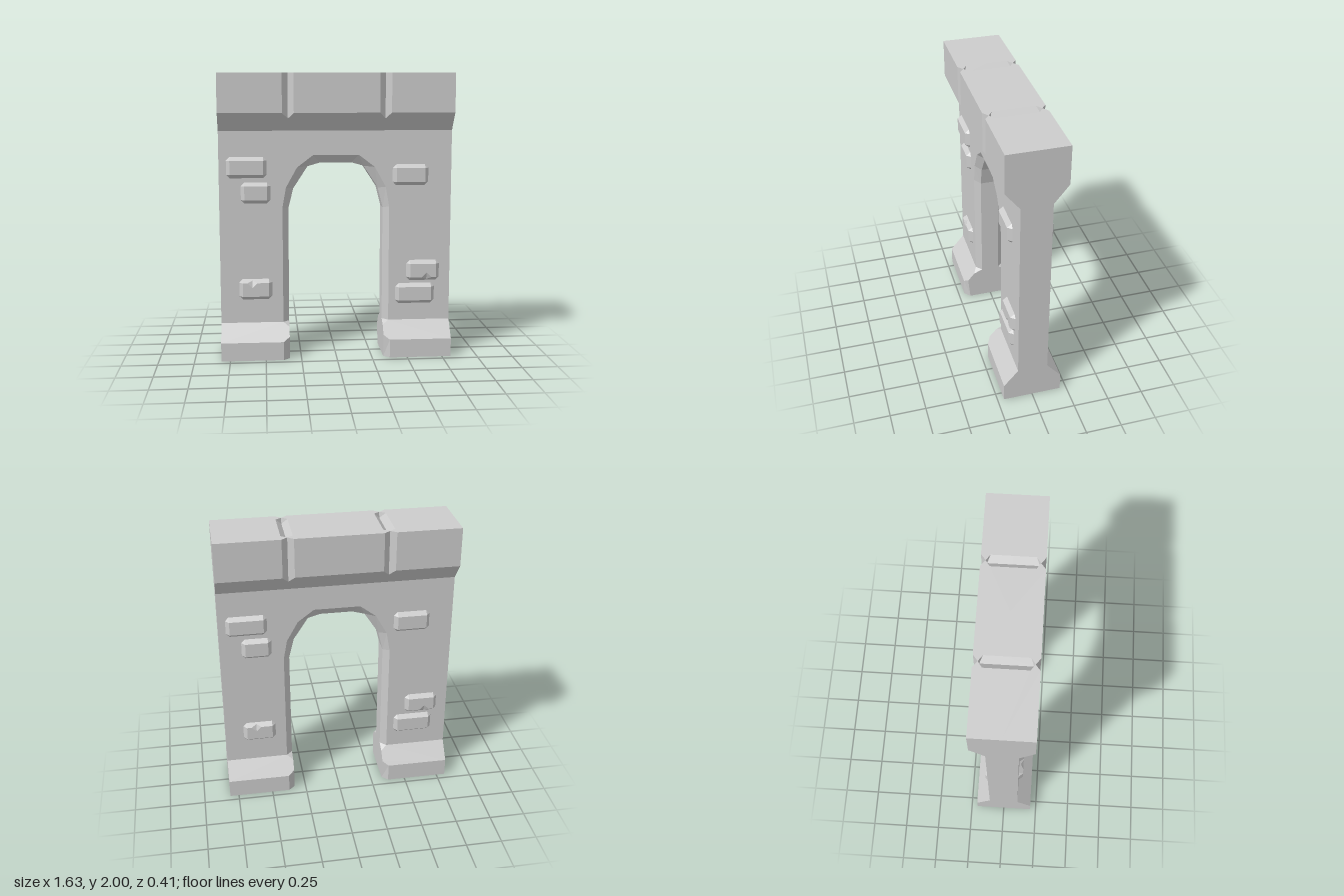
import * as THREE from 'three';

const stone = new THREE.MeshStandardMaterial({ color: 0xcccccc, flatShading: true, side: THREE.DoubleSide });
stone.name = 'grey stone';

const W = 0.813, I = 0.333, O = 0.375;      // outer side, inner jamb, outer edge of chamfer
const T = 0.105, D = 0.205, C = 0.065;      // wall, foot/lintel and chamfer half depths
const NX = 0.335, NA = 0.295, ND = 0.173;   // lintel joint centre, inner edge, depth

// Fan-triangulates a face from its first point, turned to face the hint direction
function addFace(out, hint, pts, sx = 1, sz = 1) {
  const p = pts.map(([x, y, z]) => new THREE.Vector3(x * sx, y, z * sz));
  const n = new THREE.Vector3();
  for (let i = 1; i < p.length - 1; i++) {
    n.add(p[i].clone().sub(p[0]).cross(p[i + 1].clone().sub(p[0])));
  }
  const flip = n.dot(new THREE.Vector3(hint[0] * sx, hint[1], hint[2] * sz)) < 0;
  for (let i = 1; i < p.length - 1; i++) {
    const tri = flip ? [p[0], p[i + 1], p[i]] : [p[0], p[i], p[i + 1]];
    tri.forEach((v) => out.push(v.x, v.y, v.z));
  }
}

function toMesh(name, out) {
  const g = new THREE.BufferGeometry();
  g.setAttribute('position', new THREE.Float32BufferAttribute(out, 3));
  g.computeVertexNormals();
  const m = new THREE.Mesh(g, stone);
  m.name = name;
  return m;
}

// Mirrors a list of [hint, points] faces into all four quarters
function quartered(name, faces) {
  const out = [];
  for (const sx of [1, -1]) for (const sz of [1, -1]) {
    for (const [hint, pts] of faces) addFace(out, hint, pts, sx, sz);
  }
  return toMesh(name, out);
}

const FRONT = [0, 0, 1], SIDE = [1, 0, 0], UP = [0, 1, 0], IN = [-1, 0, 0];

// Feet: plinth, sloped shoulder and cut inner corners, open underneath
function feet() {
  return quartered('feet', [
    [FRONT, [[O, 0, D], [W, 0, D], [W, 0.13, D], [O, 0.13, D]]],
    [[0, 1, 1], [[W, 0.13, D], [W, 0.25, T], [O, 0.25, T], [I, 0.22, 0.13], [I, 0.16, 0.18], [O, 0.13, D]]],
    [[-1, 0, 1], [[I, 0, 0.165], [O, 0, D], [O, 0.13, D], [I, 0.16, 0.18]]],
    [[-1, 1, 1], [[I, 0.22, 0.13], [O, 0.25, T], [I, 0.25, C]]],
    [IN, [[I, 0.25, C], [I, 0.22, 0.13], [I, 0.16, 0.18], [I, 0, 0.165], [I, 0, 0], [I, 0.25, 0]]],
    [SIDE, [[W, 0, 0], [W, 0, D], [W, 0.13, D], [W, 0.25, T], [W, 0.25, 0]]],
  ]);
}

// Wall around the opening, with the chamfered arch
function wall() {
  const outer = [[O, 0.25], [O, 1.07], [0.35, 1.21], [0.272, 1.35], [0.16, 1.435], [0, 1.435]];
  const inner = [[I, 0.25], [I, 1.06], [0.298, 1.2], [0.197, 1.355], [0.11, 1.38], [0, 1.38]];
  const at = (p, z) => [p[0], p[1], z];
  const faces = [
    [FRONT, [[W, 1.605, T], [0, 1.605, T], ...outer.map((p) => at(p, T)).reverse(), [W, 0.25, T]]],
    [SIDE, [[W, 0.25, 0], [W, 0.25, T], [W, 1.605, T], [W, 1.605, 0]]],
  ];
  for (let i = 0; i < 5; i++) {
    const a = inner[i], b = inner[i + 1];
    const hint = [a[1] - b[1], b[0] - a[0], 0];
    faces.push([FRONT, [at(a, C), at(outer[i], T), at(outer[i + 1], T), at(b, C)]]);
    faces.push([hint, [at(a, 0), at(a, C), at(b, C), at(b, 0)]]);
  }
  return quartered('archWall', faces);
}

// Lintel with V-shaped joints on the front, back and top
function lintel() {
  const faces = [
    [[0, -1, 1], [[NX, 1.69, ND], [NA, 1.73, D], [0, 1.73, D], [0, 1.605, T], [W, 1.605, T], [W, 1.73, D], [O, 1.73, D]]],
    [SIDE, [[W, 1.605, 0], [W, 1.605, T], [W, 1.73, D], [W, 2, D], [W, 2, 0]]],
  ];
  for (const [edge, end] of [[NA, 0], [O, W]]) {
    const toJoint = [NX - edge, 0, 0.04];
    faces.push(
      [FRONT, [[end, 1.73, D], [edge, 1.73, D], [edge, 2, D], [end, 2, D]]],
      [toJoint, [[edge, 1.73, D], [NX, 1.69, ND], [NX, 2, ND], [edge, 2, D]]],
      [UP, [[end, 2, 0], [end, 2, D], [edge, 2, D], [NX, 2, ND], [edge, 2, 0.145], [edge, 2, 0]]],
      [UP, [[edge, 2, 0], [edge, 2, 0.145], [NX, 1.96, 0.165], [NX, 1.96, 0]]],
      [[NX - edge, 0.02, -0.04], [[edge, 2, 0.145], [NX, 2, ND], [NX, 1.96, 0.165]]],
    );
  }
  return quartered('lintel', faces);
}

// Bevelled brick on the wall; chip is the x offset of a nick in its upper edge
function brick(x, y, w, h, chip, turn) {
  const b = 0.025, zt = 0.031, a = w / 2, c = h / 2, ai = a - b, ci = c - b;
  const out = [];
  const top = [[-ai, -ci, zt], [ai, -ci, zt], [ai, ci, zt], [-ai, ci, zt]];
  for (const s of [1, -1]) {
    addFace(out, [s, 0, 0.5], [[s * a, -ci, 0], [s * a, ci, 0], [s * ai, ci, zt], [s * ai, -ci, zt]]);
    for (const t of [1, -1]) {
      addFace(out, [s, t, 1], [[s * a, t * ci, 0], [s * ai, t * c, 0], [s * ai, t * ci, zt]]);
    }
  }
  addFace(out, [0, -1, 0.5], [[-ai, -c, 0], [ai, -c, 0], top[1], top[0]]);
  if (chip === undefined) {
    addFace(out, FRONT, top);
    addFace(out, [0, 1, 0.5], [[-ai, c, 0], [ai, c, 0], top[2], top[3]]);
  } else {
    const l = [chip - 0.035, ci, zt], r = [chip + 0.035, ci, zt];
    const q = [chip, ci - 0.035, zt], k = [chip, ci + 0.016, zt - 0.02];
    addFace(out, FRONT, [q, r, top[2], top[1], top[0], top[3], l]);
    addFace(out, [0, 1, 0.5], [k, r, top[2], [ai, c, 0], [-ai, c, 0], top[3], l]);
    addFace(out, [1, 1, 1], [q, l, k]);
    addFace(out, [-1, 1, 1], [q, k, r]);
  }
  const m = toMesh('brick', out);
  m.position.set(x, y, T);
  if (turn) m.rotation.z = Math.PI;
  return m;
}

// The same six bricks sit on the front and, turned half round, on the back
function bricks(name) {
  const g = new THREE.Group();
  g.name = name;
  const list = [
    [-0.622, 1.352, 0.28, 0.147], [-0.56, 1.175, 0.206, 0.147], [0.524, 1.294, 0.252, 0.147],
    [0.619, 0.611, 0.235, 0.147, -0.025, true], [0.563, 0.444, 0.28, 0.147], [-0.567, 0.492, 0.232, 0.147, -0.023],
  ];
  for (const args of list) g.add(brick(...args));
  return g;
}

export function createModel() {
  const model = new THREE.Group();
  model.name = 'stoneArchway';
  const back = bricks('backBricks');
  back.rotation.y = Math.PI;
  model.add(feet(), wall(), lintel(), bricks('frontBricks'), back);
  return model;
}
